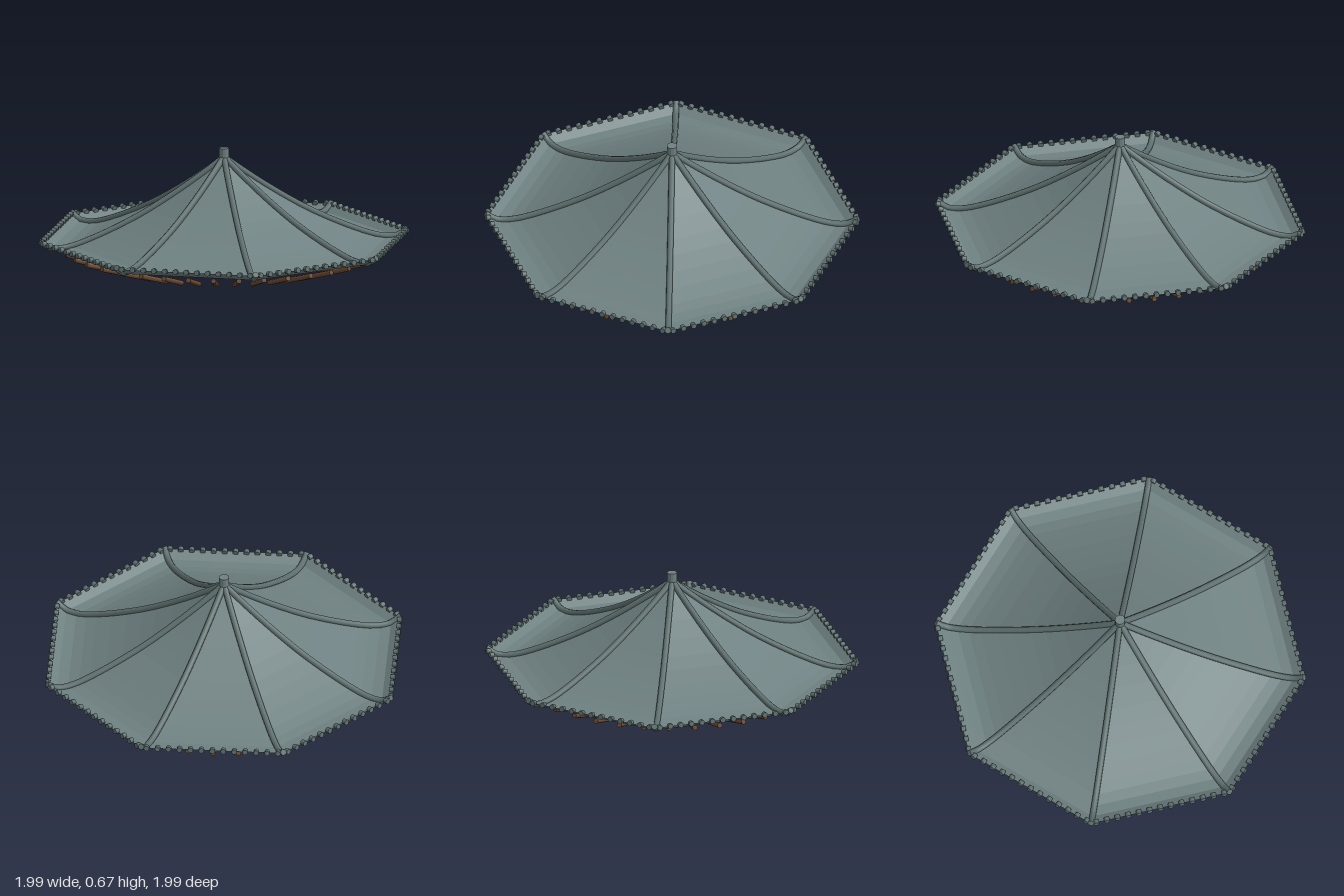
import * as THREE from 'three';

const SIDES = 8;
const APOTHEM = 0.985;
const CORNER = 1 / Math.cos(Math.PI / SIDES); // apothem to corner radius

// Roof section from rim to apex: distance to the flat side, height
const SECTION = [
  [0.985, 0.152], [0.93, 0.115], [0.87, 0.112], [0.81, 0.124], [0.75, 0.145],
  [0.66, 0.183], [0.57, 0.226], [0.48, 0.273], [0.4, 0.32], [0.3, 0.385],
  [0.2, 0.455], [0.1, 0.53], [0, 0.61],
];

function mesh(name, geometry, material) {
  const m = new THREE.Mesh(geometry, material);
  m.name = name;
  return m;
}

// Cylinder between two points
function rod(name, a, b, radius, sides, material) {
  const m = mesh(name, new THREE.CylinderGeometry(radius, radius, a.distanceTo(b), sides), material);
  m.position.copy(a).lerp(b, 0.5);
  m.quaternion.setFromUnitVectors(new THREE.Vector3(0, 1, 0), b.clone().sub(a).normalize());
  return m;
}

const polar = (r, y, a) => new THREE.Vector3(Math.sin(a) * r, y, Math.cos(a) * r);

export function createModel() {
  const tile = new THREE.MeshStandardMaterial({ color: 0x6f8182, side: THREE.DoubleSide, flatShading: true });
  tile.name = 'roof grey';
  const trim = new THREE.MeshStandardMaterial({ color: 0x5f7070 });
  trim.name = 'ridge grey';
  const wood = new THREE.MeshStandardMaterial({ color: 0x6e4c34 });
  wood.name = 'rafter brown';

  const root = new THREE.Group();
  root.name = 'octagonalRoof';

  // Sweeping eight-sided roof with an upturned rim
  const profile = SECTION.map(([r, y]) => new THREE.Vector2(r * CORNER, y));
  root.add(mesh('roofShell', new THREE.LatheGeometry(profile, SIDES, Math.PI / SIDES), tile));

  // Rounded ridges along the corners
  const ridges = new THREE.Group();
  ridges.name = 'ridges';
  for (let i = 0; i < SIDES; i++) {
    const angle = ((i + 0.5) / SIDES) * Math.PI * 2;
    const pts = SECTION.map(([r, y]) => polar(r * CORNER, y + 0.008, angle));
    ridges.add(mesh('ridge', new THREE.TubeGeometry(new THREE.CatmullRomCurve3(pts), 32, 0.018, 8), trim));
    const end = polar(APOTHEM * CORNER, 0.16, angle);
    ridges.add(rod('ridgeEnd', polar(APOTHEM * CORNER - 0.008, 0.155, angle), end, 0.018, 8, trim));
  }
  root.add(ridges);

  // Row of round tile ends along each side
  const caps = new THREE.Group();
  caps.name = 'eaveTileEnds';
  const perSide = 13;
  const half = APOTHEM * Math.tan(Math.PI / SIDES);
  for (let i = 0; i < SIDES; i++) {
    const side = new THREE.Group();
    side.name = 'eaveTileRow';
    side.rotation.y = (i / SIDES) * Math.PI * 2;
    for (let j = 0; j < perSide; j++) {
      const x = half * (2 * (j + 0.5) / perSide - 1);
      side.add(rod('tileEnd', new THREE.Vector3(x, 0.15, APOTHEM - 0.016),
        new THREE.Vector3(x, 0.154, APOTHEM + 0.01), 0.016, 8, trim));
    }
    caps.add(side);
  }
  root.add(caps);

  // Ring of sloping rafters under the eaves
  const rafters = new THREE.Group();
  rafters.name = 'rafters';
  for (let i = 0; i < 40; i++) {
    const angle = (i / 40) * Math.PI * 2;
    rafters.add(rod('rafter', polar(0.655, 0.0145, angle), polar(0.93, 0.095, angle), 0.015, 8, wood));
  }
  root.add(rafters);

  // Short post at the apex
  const finial = mesh('finial', new THREE.CylinderGeometry(0.029, 0.029, 0.08, 12), tile);
  finial.position.y = 0.63;
  root.add(finial);

  return root;
}
